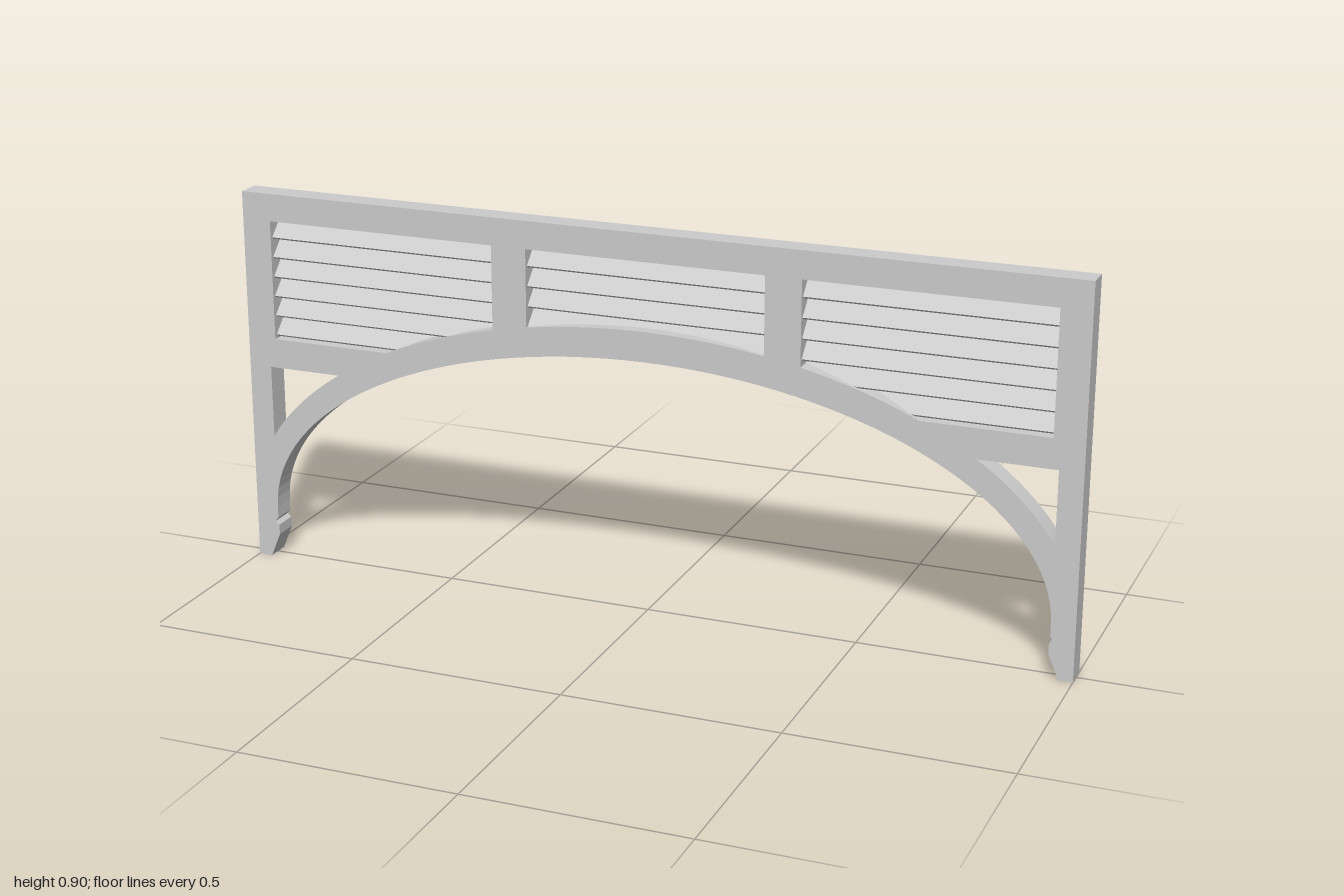
import * as THREE from 'three';

const DEPTH = 0.058;
const SPRING = 0.13; // height where the arch springs from the posts
const SLAT_PITCH = 0.047;
const WINDOW_TOP = 0.835;
const WINDOW_BOTTOM = 0.55;

// Upper edge of the arch band
const bandTop = (x) => SPRING + 0.545 * Math.sqrt(Math.max(0, 1 - x * x));
const bandTopX = (y) => Math.sqrt(Math.max(0, 1 - ((y - SPRING) / 0.545) ** 2));

// Points along the band's upper edge from x0 to x1
function bandPoints(x0, x1, n = 16) {
  return Array.from({ length: n + 1 }, (_, i) => {
    const x = x0 + ((x1 - x0) * i) / n;
    return new THREE.Vector2(x, bandTop(x));
  });
}

const mirrorX = (points) => points.map((p) => new THREE.Vector2(-p.x, p.y)).reverse();
const v = (x, y) => new THREE.Vector2(x, y);

export function createModel() {
  const group = new THREE.Group();
  const material = new THREE.MeshStandardMaterial({ color: 0xcccccc });

  // Frame outline: posts with notched feet and an elliptical arch between
  const foot = [v(1, 0), v(0.967, 0), v(0.943, 0.058), v(0.943, 0.082), v(0.953, 0.09), v(0.945, 0.1)];
  const arch = Array.from({ length: 65 }, (_, i) => {
    const a = (Math.PI * i) / 64;
    return v(0.945 * Math.cos(a), SPRING + 0.475 * Math.sin(a));
  });
  const outline = new THREE.Shape([...foot, ...arch, ...mirrorX(foot), v(-1, 0.9), v(1, 0.9)]);

  // Openings: side windows, spandrel triangles and the middle window
  const sideWindow = [
    v(0.93, WINDOW_BOTTOM), v(0.93, WINDOW_TOP), v(0.367, WINDOW_TOP),
    ...bandPoints(0.367, bandTopX(WINDOW_BOTTOM)),
  ];
  const spandrel = [v(0.945, 0.48), ...bandPoints(bandTopX(0.48), 0.945)];
  const middleWindow = [v(0.283, WINDOW_TOP), v(-0.283, WINDOW_TOP), ...bandPoints(-0.283, 0.283, 24)];
  for (const hole of [sideWindow, mirrorX(sideWindow), spandrel, mirrorX(spandrel), middleWindow]) {
    outline.holes.push(new THREE.Path(hole));
  }

  const frameGeometry = new THREE.ExtrudeGeometry(outline, { depth: DEPTH, bevelEnabled: false });
  frameGeometry.translate(0, 0, -DEPTH / 2);
  const frame = new THREE.Mesh(frameGeometry, material);
  frame.name = 'archedFrame';
  group.add(frame);

  // Louvre slats, sloping down towards the front
  function addSlat(parent, x0, x1, y) {
    const slat = new THREE.Mesh(new THREE.BoxGeometry(x1 - x0, 0.006, 0.054), material);
    slat.name = 'slat';
    slat.position.set((x0 + x1) / 2, y, 0);
    slat.rotation.x = Math.PI / 4;
    parent.add(slat);
  }

  const panels = ['leftLouvre', 'middleLouvre', 'rightLouvre'].map((name) => {
    const panel = new THREE.Group();
    panel.name = name;
    group.add(panel);
    return panel;
  });

  for (let row = 0; row < 6; row++) {
    const y = WINDOW_TOP - SLAT_PITCH * (row + 0.5);
    // Low slats stop inside the arch band
    const inner = Math.max(0.36, bandTopX(Math.min(y + 0.022, 0.675)));
    addSlat(panels[0], inner, 0.935, y);
    addSlat(panels[2], -0.935, -inner, y);
    if (row < 4) addSlat(panels[1], -0.288, 0.288, y);
  }

  return group;
}
